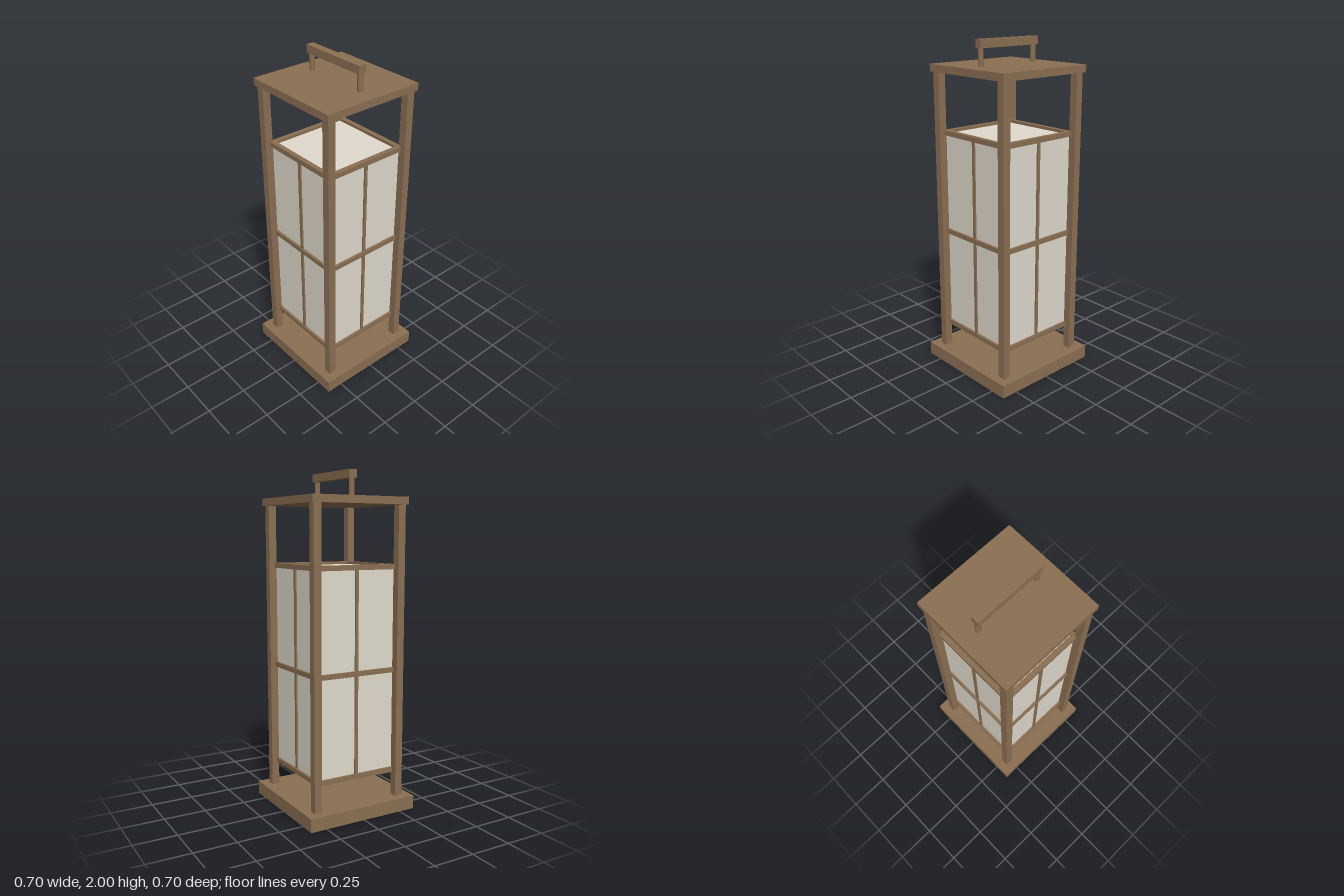
import * as THREE from 'three';

export function createModel() {
  const lantern = new THREE.Group();
  lantern.name = 'lantern';

  const wood = new THREE.MeshStandardMaterial({ color: 0x8b7053 });
  wood.name = 'brown wood';
  const paper = new THREE.MeshStandardMaterial({ color: 0xe0dbcd });
  paper.name = 'cream paper';

  // Adds a box spanning y0 to y1, centred at x, z
  function box(parent, name, material, width, depth, y0, y1, x = 0, z = 0) {
    const mesh = new THREE.Mesh(new THREE.BoxGeometry(width, y1 - y0, depth), material);
    mesh.position.set(x, (y0 + y1) / 2, z);
    mesh.name = name;
    parent.add(mesh);
    return mesh;
  }

  const inner = 0.253; // inner faces of the posts and outer faces of the paper
  const postWidth = 0.047;

  box(lantern, 'base', wood, 0.704, 0.704, 0, 0.08);
  box(lantern, 'roof', wood, 0.626, 0.626, 1.81, 1.853);

  // Corner posts
  const p = inner + postWidth / 2;
  for (const sx of [-1, 1]) {
    for (const sz of [-1, 1]) {
      box(lantern, 'cornerPost', wood, postWidth, postWidth, 0.08, 1.81, sx * p, sz * p);
    }
  }

  // Paper shade
  box(lantern, 'paperShade', paper, inner * 2, inner * 2, 0.238, 1.456);

  // Lattice of rails and a centre bar on each side
  for (let i = 0; i < 4; i++) {
    const side = new THREE.Group();
    side.name = 'latticeSide';
    side.rotation.y = i * Math.PI / 2;
    for (const y of [0.238, 0.851, 1.458]) {
      box(side, 'rail', wood, inner * 2, 0.029, y - 0.0145, y + 0.0145, 0, inner);
    }
    box(side, 'centreBar', wood, 0.019, 0.019, 0.252, 1.444, 0, inner);
    lantern.add(side);
  }

  // Carrying handle on two faceted pegs
  const handle = new THREE.Group();
  handle.name = 'handle';
  box(handle, 'grip', wood, 0.428, 0.047, 1.953, 2);
  const pegShape = new THREE.CylinderGeometry(0.016, 0.016, 0.1, 8).toNonIndexed();
  pegShape.computeVertexNormals();
  for (const sx of [-1, 1]) {
    const peg = new THREE.Mesh(pegShape, wood);
    peg.name = 'handlePeg';
    peg.position.set(sx * 0.197, 1.903, 0);
    handle.add(peg);
  }
  lantern.add(handle);

  return lantern;
}
